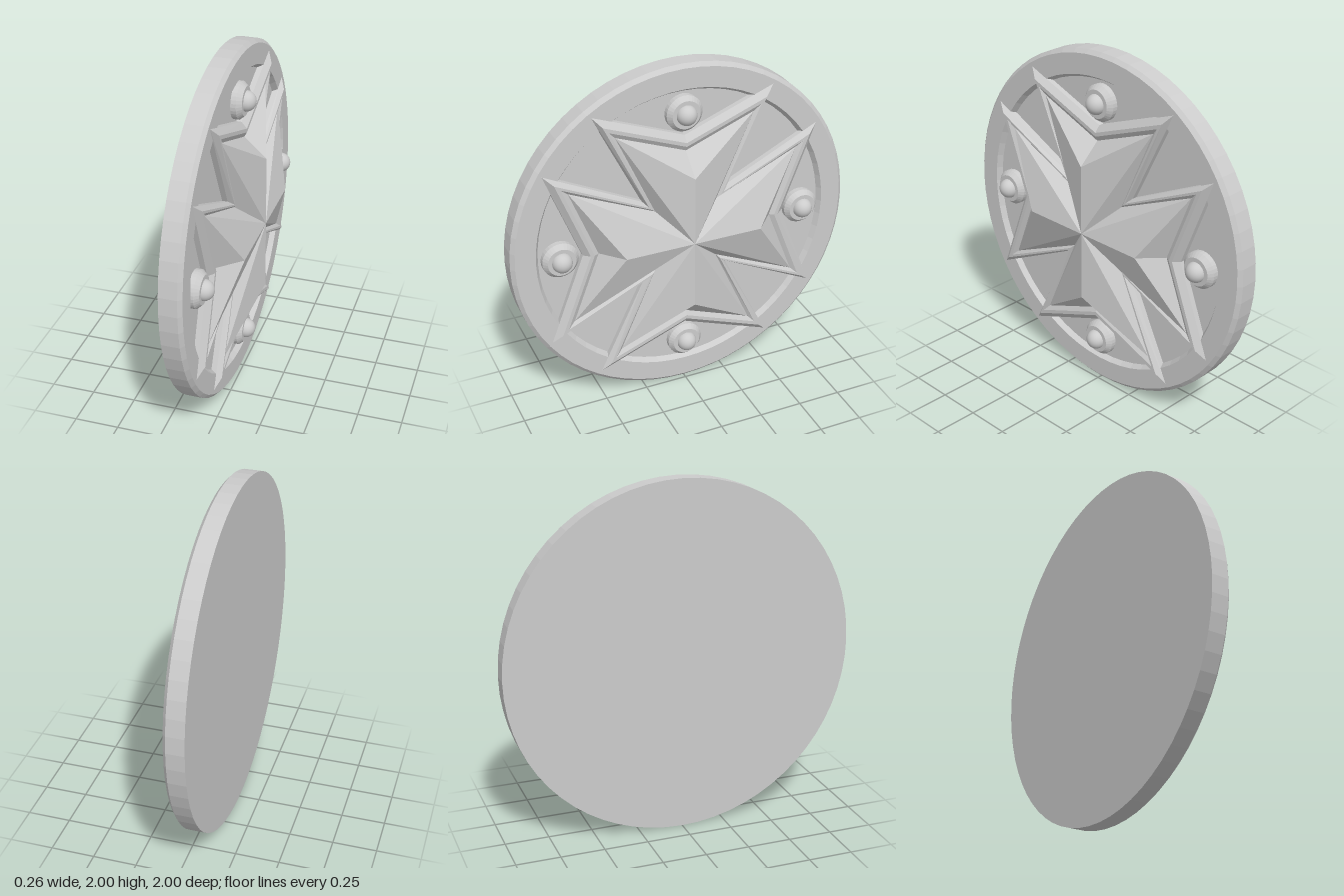
import * as THREE from 'three';

const flat = new THREE.MeshStandardMaterial({ color: 0xcccccc, flatShading: true });
const smooth = new THREE.MeshStandardMaterial({ color: 0xcccccc });
const FLOOR = -0.04;

// Turned part whose axis points along z; points are [radius, z] from back to front
function turned(points, segments) {
  const profile = points.map(([r, z]) => new THREE.Vector2(r, z));
  return new THREE.LatheGeometry(profile, segments).rotateX(Math.PI / 2);
}

// Closed eight-pointed cross outline, counter-clockwise: valley, tip, notch, tip per arm
function crossLoop(valley, tipX, tipY, notch, z) {
  const loop = [];
  for (let arm = 0; arm < 4; arm++) {
    const c = Math.round(Math.cos(arm * Math.PI / 2));
    const s = Math.round(Math.sin(arm * Math.PI / 2));
    for (const [x, y] of [[valley, valley], [tipX, tipY], [0, notch], [-tipX, tipY]]) {
      loop.push([x * c - y * s, x * s + y * c, z]);
    }
  }
  return loop;
}

function facets(triangles) {
  const geometry = new THREE.BufferGeometry();
  geometry.setAttribute('position', new THREE.Float32BufferAttribute(triangles.flat(2), 3));
  geometry.computeVertexNormals();
  return geometry;
}

// Bevelled border, bridged between outlines that run from outside to inside
function frameGeometry() {
  const outer = [0.25, 0.52, 0.80, 0.60];
  const inner = [0.183, 0.40, 0.67, 0.515];
  const loops = [[0, FLOOR], [0, -0.01], [0.42, 0.02], [0.68, 0.02], [1, 0.005]].map(([t, z]) =>
    crossLoop(...outer.map((v, i) => THREE.MathUtils.lerp(v, inner[i], t)), z));
  const triangles = [];
  for (let k = 0; k < loops.length - 1; k++) {
    const a = loops[k], b = loops[k + 1];
    for (let i = 0; i < a.length; i++) {
      const j = (i + 1) % a.length;
      triangles.push([a[i], a[j], b[j]], [a[i], b[j], b[i]]);
    }
  }
  return facets(triangles);
}

// Faceted star: each arm has a level ridge that drops to the notch and both tips
function starGeometry() {
  const base = crossLoop(0.183, 0.40, 0.67, 0.515, 0.005);
  const ridges = crossLoop(0, 0, 0, 0.40, 0.13);
  const apex = [0, 0, 0.13];
  const triangles = [];
  for (let i = 0; i < 16; i += 4) {
    const [valley, tip, notch, tip2] = base.slice(i, i + 4);
    const next = base[(i + 4) % 16];
    const ridge = ridges[i + 2];
    triangles.push(
      [apex, valley, tip], [apex, tip, ridge], [ridge, tip, notch],
      [ridge, notch, tip2], [apex, ridge, tip2], [apex, tip2, next]);
  }
  return facets(triangles);
}

export function createModel() {
  const model = new THREE.Group();
  model.name = 'crossMedallion';
  const medallion = new THREE.Group();
  medallion.name = 'medallion';
  const add = (parent, name, geometry, material) => {
    const mesh = new THREE.Mesh(geometry, material);
    mesh.name = name;
    parent.add(mesh);
    return mesh;
  };

  // Disc with chamfered rim and recessed field
  add(medallion, 'disc', turned([
    [0, -0.13], [1, -0.13], [1, -0.03], [0.978, -0.01],
    [0.862, -0.01], [0.843, FLOOR], [0, FLOOR],
  ], 64), flat);

  add(medallion, 'crossFrame', frameGeometry(), flat);
  add(medallion, 'crossStar', starGeometry(), flat);

  // Four studs, one in the notch of each arm
  for (let i = 0; i < 4; i++) {
    const angle = i * Math.PI / 2;
    const stud = new THREE.Group();
    stud.name = 'stud';
    stud.position.set(0.725 * Math.cos(angle), 0.725 * Math.sin(angle), 0);
    add(stud, 'studBase', turned([
      [0.103, FLOOR], [0.103, -0.01], [0.08, 0.016], [0, 0.016],
    ], 32), flat);
    const ball = add(stud, 'studBall', new THREE.SphereGeometry(0.057, 24, 16), smooth);
    ball.position.z = 0.014;
    medallion.add(stud);
  }

  // The decorated face looks toward the model's left
  medallion.rotation.y = Math.PI / 2;
  medallion.position.y = 1;
  model.add(medallion);
  return model;
}
